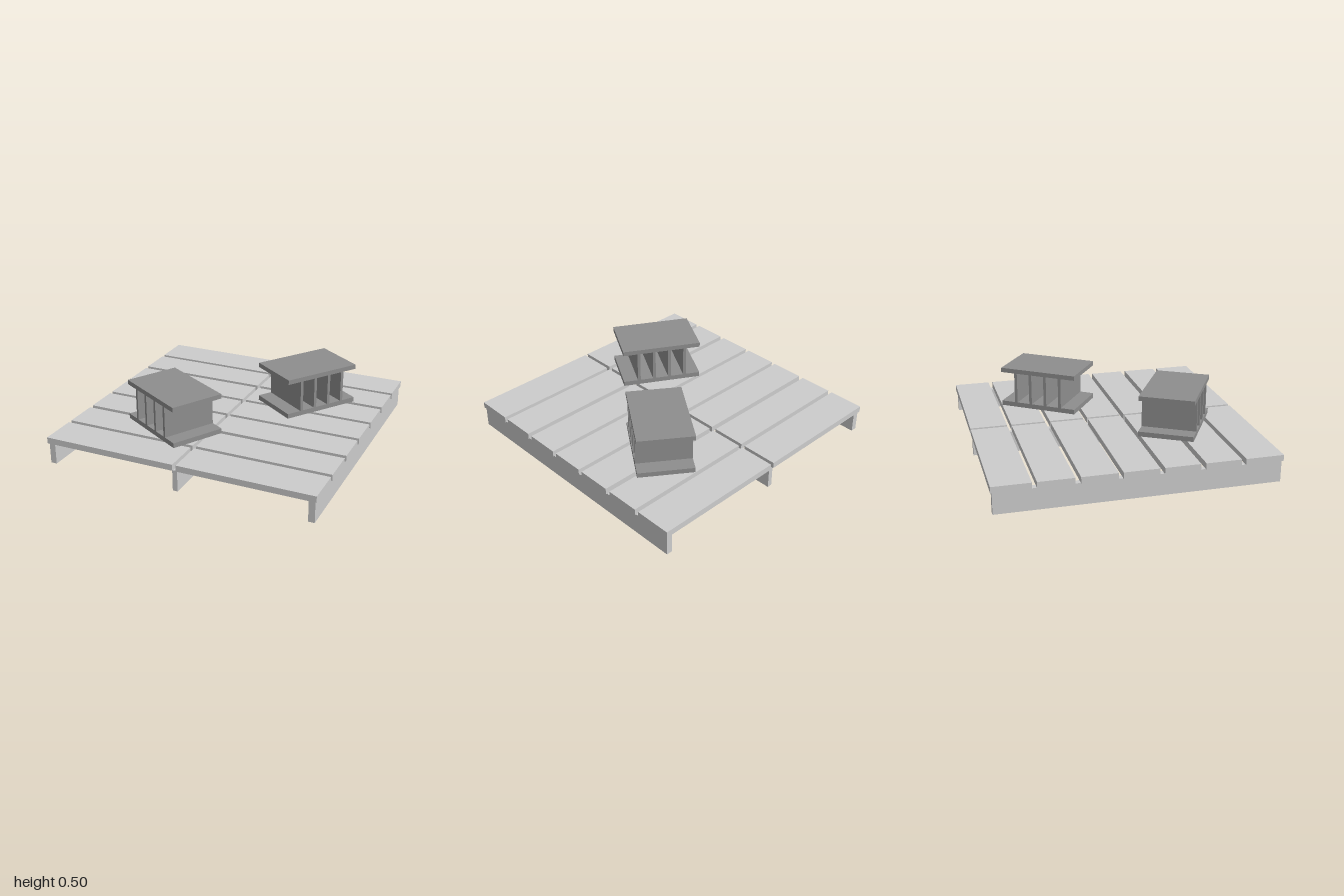
import * as THREE from 'three';

const wood = new THREE.MeshStandardMaterial({ color: 0xcccccc });
wood.name = 'light grey';
const steel = new THREE.MeshStandardMaterial({ color: 0x8e8e8e });
steel.name = 'mid grey';

// Box given by its min and max on each axis
function box(parent, name, material, [x0, x1], [y0, y1], [z0, z1]) {
  const mesh = new THREE.Mesh(new THREE.BoxGeometry(x1 - x0, y1 - y0, z1 - z0), material);
  mesh.position.set((x0 + x1) / 2, (y0 + y1) / 2, (z0 + z1) / 2);
  mesh.name = name;
  parent.add(mesh);
}

// Two flat plates held apart by four upright fins
function createBlock(name, x, z, degrees) {
  const block = new THREE.Group();
  block.name = name;
  box(block, 'bottomPlate', steel, [-0.3, 0.3], [0.2, 0.236], [-0.2, 0.2]);
  box(block, 'topPlate', steel, [-0.3, 0.3], [0.468, 0.502], [-0.2, 0.2]);
  for (const u of [-0.18, -0.06, 0.06, 0.18]) {
    box(block, 'fin', steel, [u - 0.011, u + 0.011], [0.236, 0.468], [-0.2, 0.2]);
  }
  block.position.set(x, 0, z);
  block.rotation.y = THREE.MathUtils.degToRad(degrees);
  return block;
}

export function createModel() {
  const model = new THREE.Group();
  model.name = 'platformWithBlocks';

  // Deck: seven rows of boards, split down the middle
  const deck = new THREE.Group();
  deck.name = 'deck';
  const rows = [[-1, -0.732], [-0.7, -0.449], [-0.412, -0.16], [-0.128, 0.123],
    [0.155, 0.406], [0.443, 0.695], [0.727, 1]];
  for (const row of rows) {
    box(deck, 'boardRight', wood, [-1, -0.013], [0.155, 0.2], row);
    box(deck, 'boardLeft', wood, [0.013, 1], [0.155, 0.2], row);
  }

  // Bearers running front to back
  for (const [name, span] of [['bearerRight', [-0.99, -0.945]],
    ['bearerCentre', [-0.018, 0.018]], ['bearerLeft', [0.945, 0.99]]]) {
    box(deck, name, wood, span, [0, 0.155], [-0.99, 0.99]);
  }

  model.add(deck);
  model.add(createBlock('frontBlock', -0.274, 0.459, -30));
  model.add(createBlock('backBlock', 0.436, -0.338, 55));
  return model;
}
